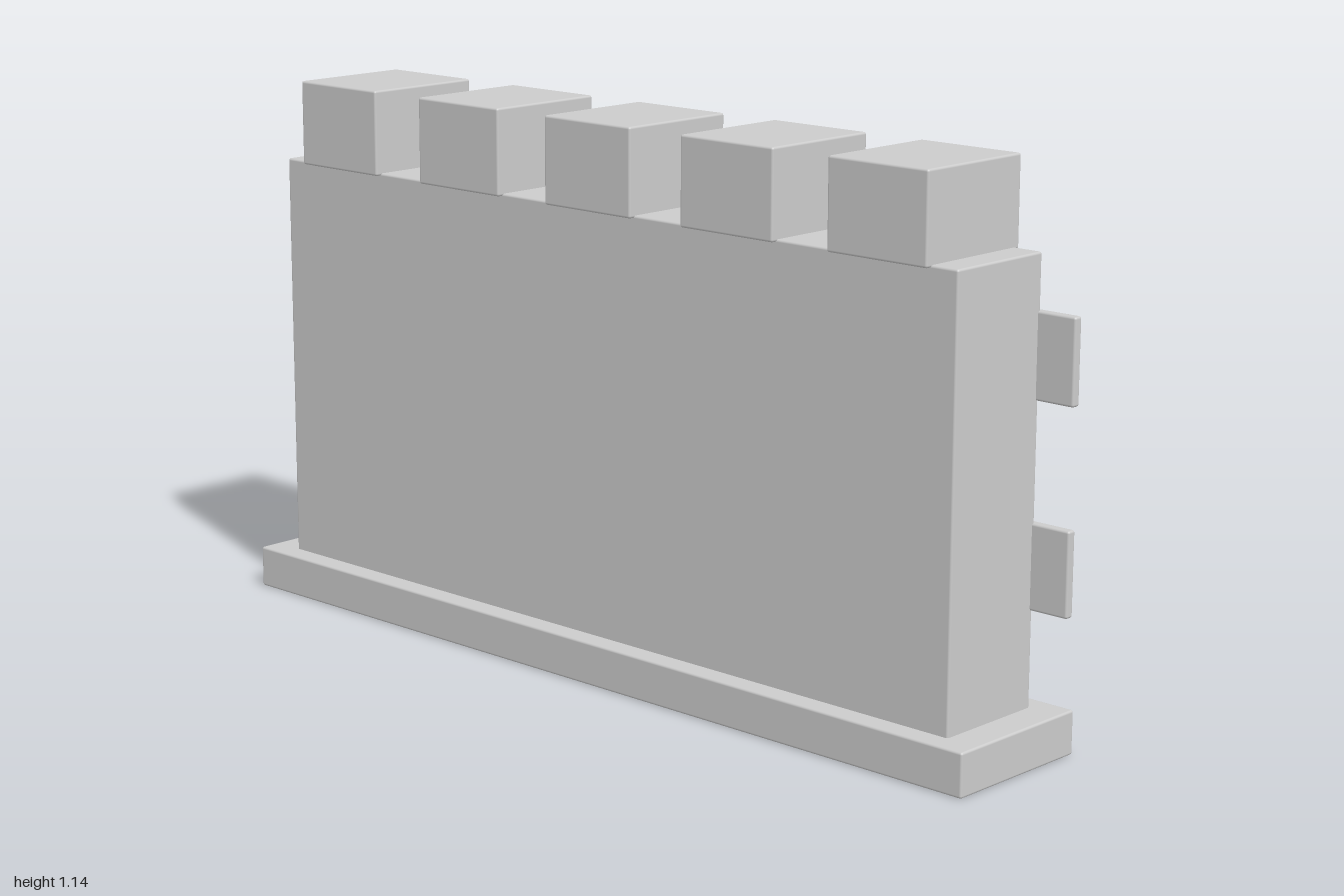
import * as THREE from 'three';
import { RoundedBoxGeometry } from 'three/addons/geometries/RoundedBoxGeometry.js';

const material = new THREE.MeshStandardMaterial({ color: 0xcccccc });

// Softly bevelled block given by its minimum and maximum corners
function block(name, [x0, y0, z0], [x1, y1, z1], bevel = 0.005) {
  const geometry = new RoundedBoxGeometry(x1 - x0, y1 - y0, z1 - z0, 2, bevel);
  const mesh = new THREE.Mesh(geometry, material);
  mesh.name = name;
  mesh.position.set((x0 + x1) / 2, (y0 + y1) / 2, (z0 + z1) / 2);
  return mesh;
}

export function createModel() {
  const wall = new THREE.Group();
  wall.name = 'castleWall';

  // Plinth and main slab
  wall.add(block('base', [-1, 0.003, -0.17], [0.98, 0.092, 0.17]));
  wall.add(block('wallBody', [-0.93, 0.08, -0.124], [0.91, 0.97, 0.124]));

  // Battlements along the top
  const battlements = new THREE.Group();
  battlements.name = 'battlements';
  for (let i = 0; i < 5; i++) {
    const x = -0.747 + i * 0.3693;
    battlements.add(block('merlon', [x - 0.118, 0.965, -0.135], [x + 0.118, 1.145, 0.137]));
  }
  wall.add(battlements);

  // Staggered brick courses on the back, overhanging alternate ends
  const bricks = new THREE.Group();
  bricks.name = 'bricks';
  for (let row = 0; row < 4; row++) {
    const start = row % 2 ? -0.805 : -0.955;
    const y = 0.082 + row * 0.2025;
    for (let i = 0; i < 6; i++) {
      const x = start + i * 0.305;
      bricks.add(block('brick', [x, y, -0.136], [x + 0.275, y + 0.17, -0.116]));
    }
  }
  wall.add(bricks);

  return wall;
}
